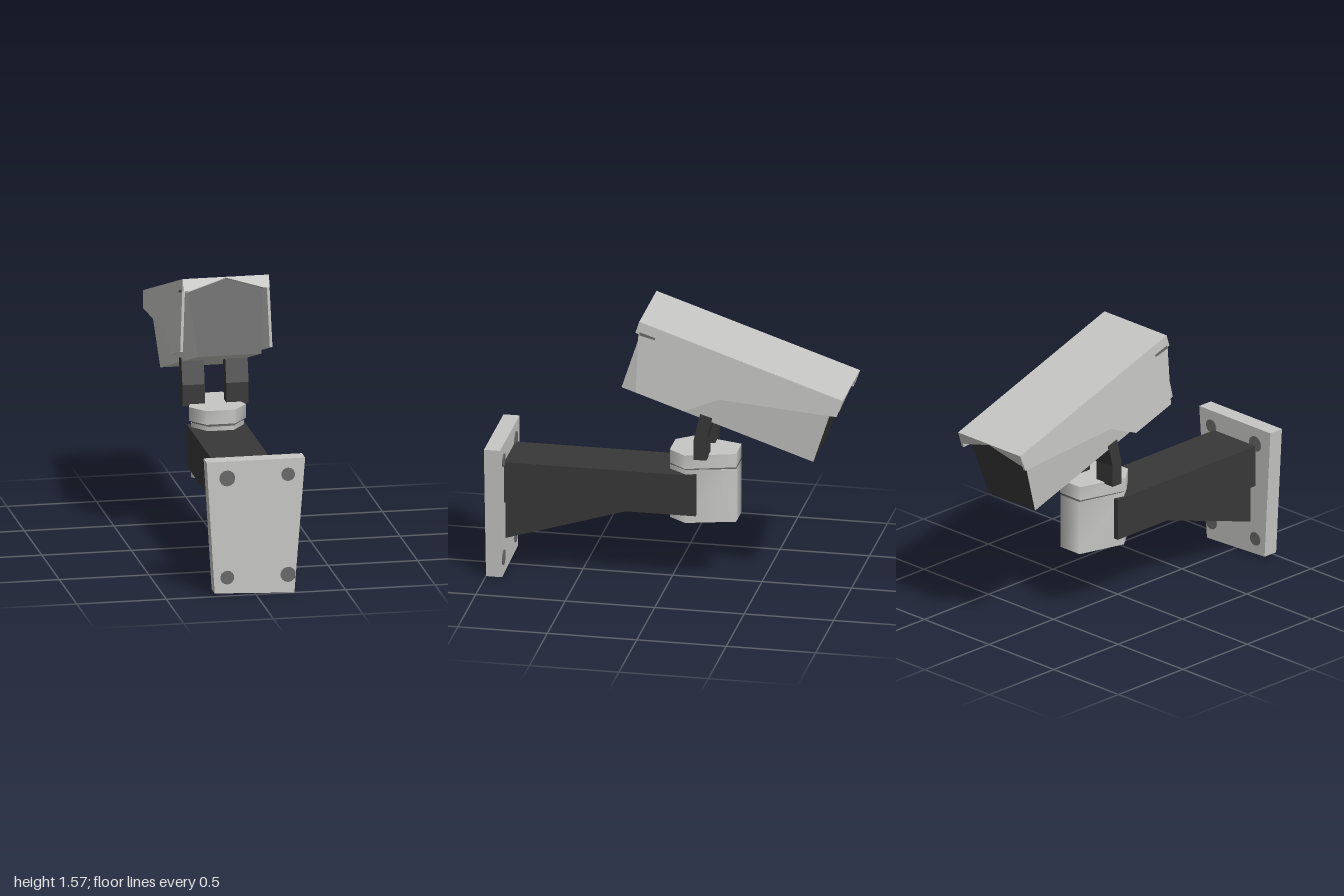
import * as THREE from 'three';

const mat = (name, color) => {
  const m = new THREE.MeshStandardMaterial({ color });
  m.name = name;
  return m;
};

export function createModel() {
  const light = mat('light grey', 0xc6c6c4);
  const dark = mat('charcoal', 0x383838);
  const mid = mat('bolt grey', 0x686868);
  const model = new THREE.Group();
  model.name = 'securityCamera';

  const add = (name, geo, material, parent = model) => {
    const m = new THREE.Mesh(geo, material);
    m.name = name;
    parent.add(m);
    return m;
  };
  // Extrudes an [x, y] outline along z
  const extrude = (pts, depth) => new THREE.ExtrudeGeometry(
    new THREE.Shape(pts.map(p => new THREE.Vector2(...p))), { depth, bevelEnabled: false });
  // Extrudes a [z, y] side outline between x0 and x1
  const sideExtrude = (pts, x0, x1) =>
    extrude(pts, x1 - x0).rotateY(-Math.PI / 2).translate(x1, 0, 0);

  // Wall plate, a tapered slab with slightly uneven bottom
  add('wallPlate', extrude([[-0.23, 0.018], [0.215, 0], [0.275, 0.765], [-0.275, 0.765]], 0.09)
    .translate(0, 0, 0.91), light);
  for (const [x, y, r] of [[-0.16, 0.67, 0.045], [0.18, 0.675, 0.038], [-0.16, 0.105, 0.039], [0.18, 0.105, 0.043]]) {
    add('bolt', new THREE.CylinderGeometry(r, r, 0.097, 14).rotateX(Math.PI / 2)
      .translate(x, y, 0.9535), mid);
  }

  // Arm and the wedge that braces it
  add('arm', new THREE.BoxGeometry(0.32, 0.237, 1.07).translate(0, 0.537, 0.375), dark);
  add('armBrace', sideExtrude([[0.91, 0.195], [0.91, 0.43], [0.16, 0.43], [0.19, 0.418]], -0.12, 0.12), dark);

  // Six-sided hub, widest towards the arm
  const hub = (name, w, y0, y1, material) => {
    const g = new THREE.CylinderGeometry(1, 1, y1 - y0, 6, 1, false, Math.PI / 6);
    const p = g.attributes.position;
    for (let i = 0; i < p.count; i++) {
      const x = p.getX(i), z = p.getZ(i);
      const r = Math.hypot(x, z);
      const shift = r > 0.5 && Math.abs(z) < 0.1 ? 0.085 : 0;
      p.setX(i, x * w);
      p.setZ(i, z * 0.185 / 0.866 - 0.185 + shift);
    }
    g.computeVertexNormals();
    add(name, g.translate(0, (y0 + y1) / 2, 0), material);
  };
  hub('hub', 0.147, 0.37, 0.68, light);
  hub('hubGroove', 0.144, 0.68, 0.692, mid);
  hub('hubCap', 0.16, 0.692, 0.77, light);

  // Two bent legs carrying the housing
  const leg = [[-0.155, 0.76], [-0.155, 0.88], [-0.19, 1.03], [-0.258, 1.01], [-0.225, 0.88], [-0.225, 0.76]];
  for (const s of [-1, 1]) {
    add('bracketLeg', sideExtrude(leg, s > 0 ? 0.06 : -0.185, s > 0 ? 0.185 : -0.06), dark);
  }

  // Tilted housing: dark ends, light sides
  const housing = new THREE.Group();
  housing.name = 'housing';
  housing.position.set(0, 1.19, -1);
  housing.rotation.x = -0.322;
  model.add(housing);
  add('housingBody', extrude([[-0.178, -0.43], [0.178, -0.43], [0.21, -0.073], [0, -0.008], [-0.21, -0.073]], 1.13)
    .translate(0, 0, 0.044), [dark, light], housing);
  // Hood roof, flat above and gabled below
  add('hoodRoof', extrude([[-0.24, 0], [-0.24, -0.07], [-0.21, -0.07], [0, -0.005],
    [0.21, -0.07], [0.24, -0.07], [0.24, 0]], 1.2), light, housing);

  // Hood cheeks with stepped lower edge, flaring outwards as they descend
  const cheek = [[0.14, 1.568], [-0.998, 1.188], [-0.965, 1.095], [-0.31, 1.15], [-0.115, 1.07], [0.155, 1.16]];
  const vent = [[0.135, 1.51], [0.05, 1.482], [0.05, 1.47], [0.135, 1.492]];
  const flare = (g, s) => {
    const p = g.attributes.position;
    for (let i = 0; i < p.count; i++) {
      const drop = Math.max(0, 1.523 + 0.333 * p.getZ(i) - p.getY(i));
      p.setX(i, p.getX(i) + s * 0.04 * drop);
    }
    g.computeVertexNormals();
    return g;
  };
  for (const s of [-1, 1]) {
    const span = (a, b) => (s > 0 ? [a, b] : [-b, -a]);
    add('hoodCheek', flare(sideExtrude(cheek, ...span(0.226, 0.241)), s), light);
    add('hoodVent', flare(sideExtrude(vent, ...span(0.239, 0.244)), s), mid);
  }
  return model;
}
